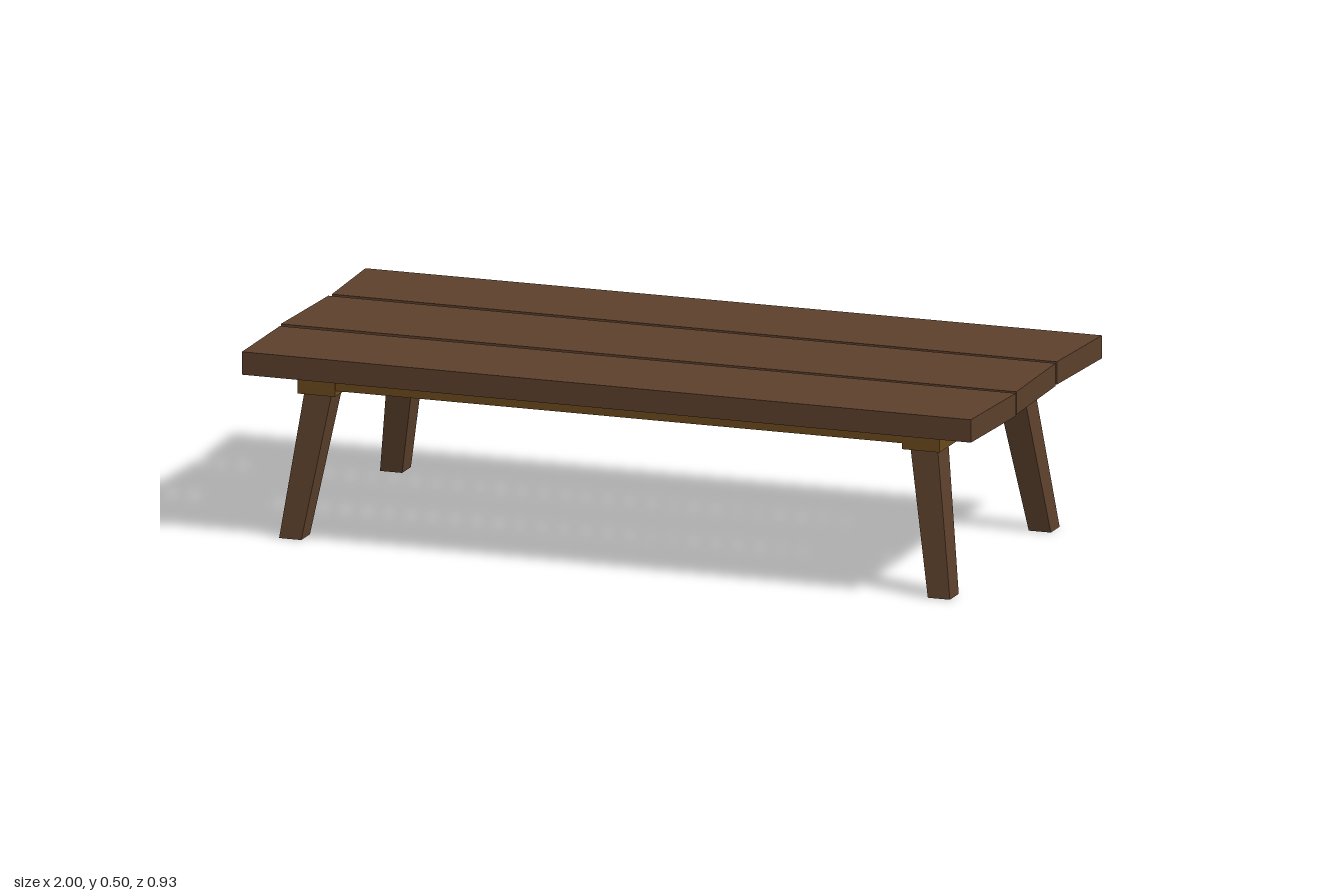
import * as THREE from 'three';

const darkWood = new THREE.MeshStandardMaterial({ color: 0x5c402c, flatShading: true });
const beamWood = new THREE.MeshStandardMaterial({ color: 0x6b4a1c, flatShading: true });

// Box whose eight corners are placed by a rule: place(sx, sy, sz) -> [x, y, z]
function block(name, material, place) {
  const geometry = new THREE.BoxGeometry(2, 2, 2);
  const pos = geometry.attributes.position;
  for (let i = 0; i < pos.count; i++) {
    pos.setXYZ(i, ...place(pos.getX(i), pos.getY(i), pos.getZ(i)));
  }
  geometry.computeVertexNormals();
  const mesh = new THREE.Mesh(geometry, material);
  mesh.name = name;
  return mesh;
}

function bar(name, [x0, x1], [y0, y1], [z0, z1]) {
  return block(name, beamWood, (sx, sy, sz) => [sx < 0 ? x0 : x1, sy < 0 ? y0 : y1, sz < 0 ? z0 : z1]);
}

export function createModel() {
  const table = new THREE.Group();
  table.name = 'lowTable';

  // Roughly cut planks: corners [x, z] as back left, back right, front left, front right
  const planks = {
    backPlank: [[-0.998, -0.458], [0.998, -0.465], [-0.985, -0.179], [0.985, -0.17]],
    middlePlank: [[-0.988, -0.161], [0.987, -0.155], [-1, 0.153], [0.996, 0.155]],
    frontPlank: [[-0.995, 0.174], [1, 0.169], [-0.993, 0.456], [0.988, 0.465]],
  };
  for (const [name, corners] of Object.entries(planks)) {
    table.add(block(name, darkWood, (sx, sy, sz) => {
      const [x, z] = corners[(sz > 0 ? 2 : 0) + (sx > 0 ? 1 : 0)];
      return [x, sy > 0 ? 0.495 : 0.435, z];
    }));
  }

  // Cross beams let slightly into the planks
  table.add(bar('rightCrossBeam', [-0.875, -0.773], [0.375, 0.455], [-0.365, 0.368]));
  table.add(bar('leftCrossBeam', [0.765, 0.867], [0.375, 0.455], [-0.365, 0.368]));

  // Long rails between the cross beams
  table.add(bar('frontRail', [-0.773, 0.765], [0.39, 0.44], [0.28, 0.366]));
  table.add(bar('backRail', [-0.773, 0.765], [0.39, 0.44], [-0.363, -0.277]));

  // Splayed legs, tapering towards flat feet
  for (const side of [-1, 1]) {
    for (const end of [-1, 1]) {
      const name = (end > 0 ? 'front' : 'back') + (side > 0 ? 'Left' : 'Right') + 'Leg';
      table.add(block(name, darkWood, (sx, sy, sz) => {
        const top = sy > 0;
        const x = side * (top ? 0.822 : 0.88) - 0.003 + sx * (top ? 0.037 : 0.03);
        const z = end * (top ? 0.313 : 0.368) + sz * (top ? 0.039 : 0.032);
        return [x, top ? 0.378 : 0, z];
      }));
    }
  }
  return table;
}
